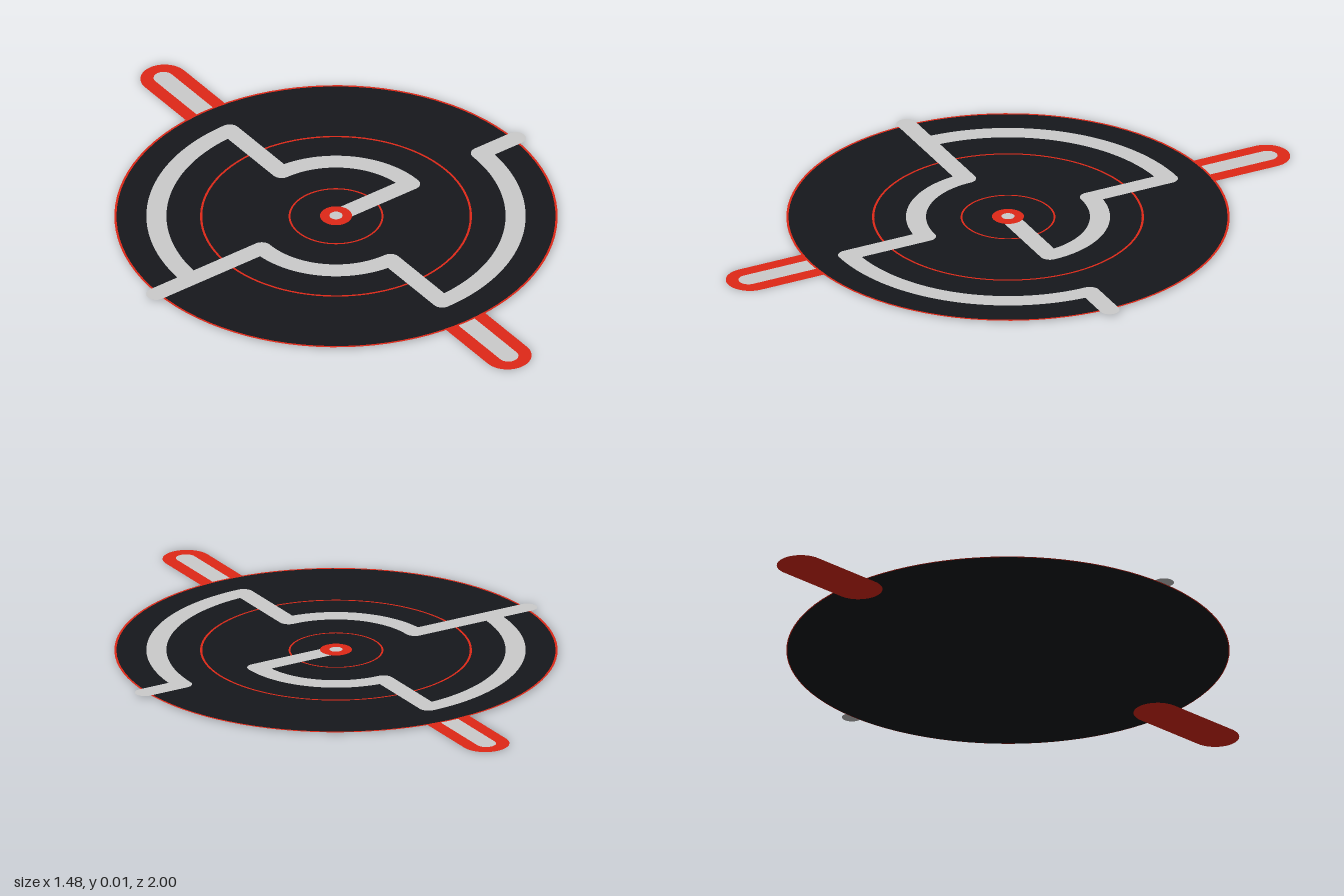
import * as THREE from 'three';

const LAYER = 0.001; // height step between the stacked flat layers
const material = (color) => new THREE.MeshStandardMaterial({ color, side: THREE.DoubleSide });

export function createModel() {
  const model = new THREE.Group();
  const red = material(0xe02817);
  const black = material(0x16181c);
  const grey = material(0xcccccc);

  // Lay a flat XY geometry down on the given layer (+y of the shape becomes -z)
  function add(name, geometry, mat, layer, parent = model) {
    geometry.rotateX(-Math.PI / 2);
    const mesh = new THREE.Mesh(geometry, mat);
    mesh.name = name;
    mesh.position.y = layer * LAYER;
    parent.add(mesh);
    return mesh;
  }

  // Round-ended strip from a to b along the shape's local x axis
  function strip(a, b, r) {
    const s = new THREE.Shape();
    s.absarc(b - r, 0, r, -Math.PI / 2, Math.PI / 2, false);
    s.absarc(a + r, 0, r, Math.PI / 2, Math.PI * 1.5, false);
    return new THREE.ShapeGeometry(s, 16);
  }

  // Front and back tabs, tucked under the disc, each with an inlay
  for (const [side, angle] of [['back', Math.PI / 2], ['front', -Math.PI / 2]]) {
    const tab = new THREE.Group();
    tab.name = side + 'Tab';
    add(side + 'TabBase', strip(0.59, 1, 0.077).rotateZ(angle), red, 0, tab);
    add(side + 'TabInlay', strip(0.63, 0.96, 0.032).rotateZ(angle), grey, 1, tab);
    model.add(tab);
  }

  // Disc with thin concentric rings
  add('disc', new THREE.CircleGeometry(0.703, 96), black, 2);
  for (const [name, inner, outer] of [
    ['rimRing', 0.699, 0.706],
    ['middleRing', 0.426, 0.433],
    ['innerRing', 0.145, 0.151],
  ]) add(name, new THREE.RingGeometry(inner, outer, 96), red, 3);

  // Winding track: quarter arcs joined by straight strips
  const track = new THREE.Group();
  track.name = 'track';
  model.add(track);
  const R1 = 0.293, R2 = 0.572, W = 0.032;
  [R1, R2, R1, R2].forEach((r, i) => {
    add('trackArc', new THREE.RingGeometry(r - W, r + W, 40, 1, i * Math.PI / 2, Math.PI / 2), grey, 4, track);
  });
  for (const [a, b, turn] of [
    [0, R1, 0],        // hub to inner arc
    [R1, R2, 1],       // back link
    [R1, 0.71, 2],     // right link and outlet
    [R1, R2, 3],       // front link
    [R2, 0.71, 0],     // left outlet
  ]) add('trackStrip', strip(a - W, b + W, W).rotateZ(turn * Math.PI / 2), grey, 4, track);

  // Hub
  add('hub', new THREE.CircleGeometry(0.051, 40), red, 5);
  add('hubDot', new THREE.CircleGeometry(0.021, 32), grey, 6);

  return model;
}
